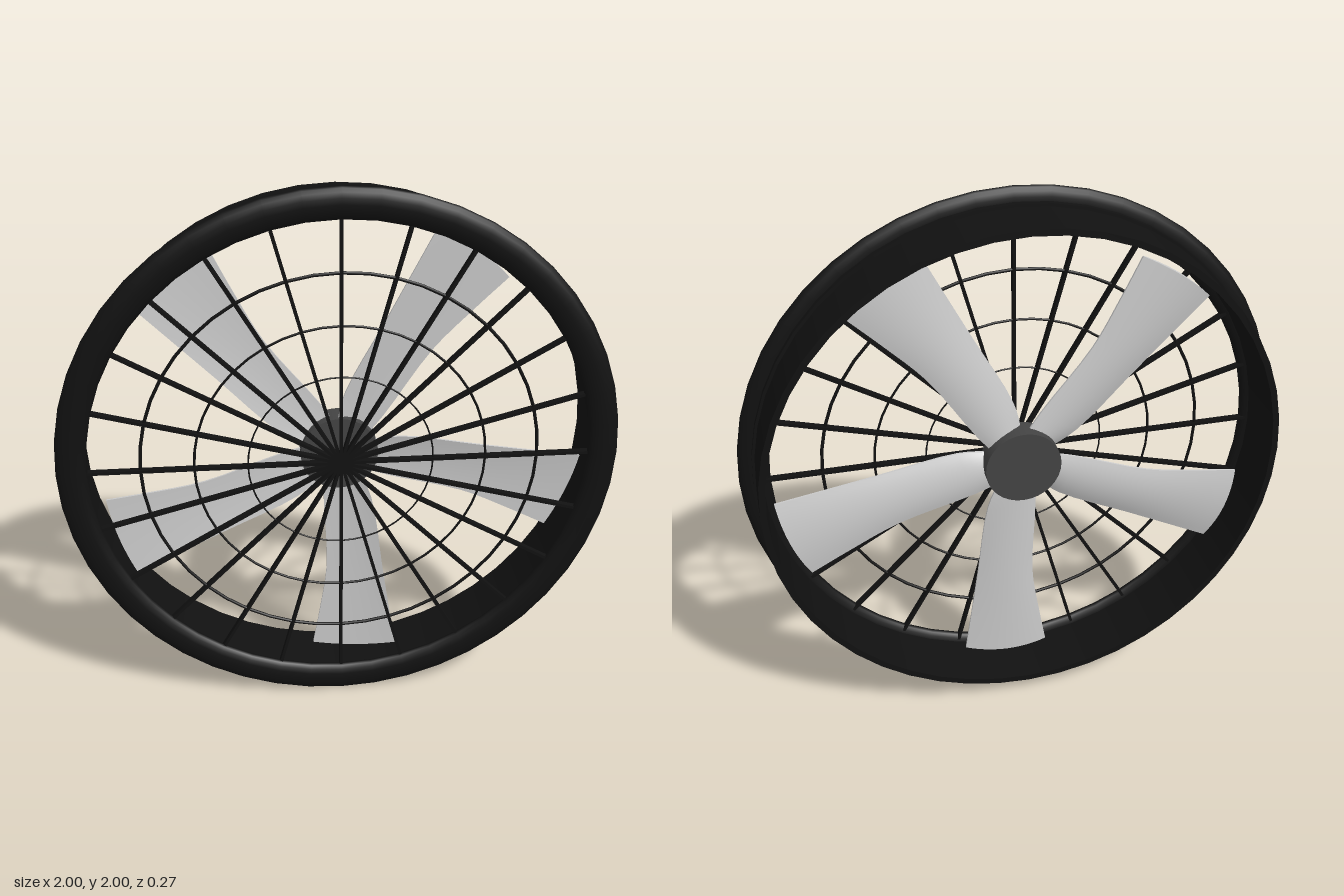
import * as THREE from 'three';

const mat = (color) => new THREE.MeshStandardMaterial({ color });
const black = mat(0x111111);
const darkGrey = mat(0x444444);
const grey = mat(0xcccccc);

function add(parent, name, geometry, material) {
  const mesh = new THREE.Mesh(geometry, material);
  mesh.name = name;
  parent.add(mesh);
  return mesh;
}

// Ring with a closed [radius, z] section, turned about the z axis
function ringGeometry(section, segments) {
  const pts = [...section, section[0]].map(([r, z]) => new THREE.Vector2(r, z));
  // Doubled corner points keep the section's edges sharp
  const sharp = [];
  for (let i = 0; i < pts.length - 1; i++) {
    sharp.push([pts[i], pts[i + 1]]);
  }
  return sharp.map((pair) => new THREE.LatheGeometry(pair, segments).rotateX(Math.PI / 2));
}

// Blade along +x: a box bent between two edge curves, cambered and thinned at the edges
function bladeGeometry() {
  const curve = (pts) => new THREE.CatmullRomCurve3(pts.map(([r, t]) => new THREE.Vector3(r, t, 0)));
  const trailing = curve([[0.08, -0.05], [0.2, -0.055], [0.5, -0.045], [0.7, -0.072], [0.86, -0.1]]);
  const leading = curve([[0.08, 0.07], [0.2, 0.12], [0.5, 0.165], [0.7, 0.195], [0.865, 0.22]]);
  const g = new THREE.BoxGeometry(1, 1, 1, 16, 12, 1);
  const p = g.attributes.position;
  for (let i = 0; i < p.count; i++) {
    const u = p.getX(i) + 0.5, v = p.getY(i) + 0.5, w = p.getZ(i);
    const a = trailing.getPoint(u), b = leading.getPoint(u);
    const s = 2 * v - 1;
    const bulge = 0.015 * Math.pow(u, 6) * (1 - s * s);
    const thickness = 0.008 + 0.014 * (1 - s * s);
    const z = 0.01 + 0.012 * s - 0.012 * (1 - s * s) + w * thickness;
    p.setXYZ(i, THREE.MathUtils.lerp(a.x, b.x, v) + bulge, THREE.MathUtils.lerp(a.y, b.y, v), z);
  }
  g.computeVertexNormals();
  return g;
}

export function createModel() {
  const model = new THREE.Group();
  model.name = 'fan';
  const fan = new THREE.Group();
  fan.name = 'fanAssembly';
  fan.position.y = 1;
  model.add(fan);

  // Rounded front rim, flattened front to back
  const rim = add(fan, 'frontRim', new THREE.TorusGeometry(0.945, 0.055, 16, 48), black);
  rim.scale.z = 0.46;
  rim.position.z = 0.108;

  // Duct with a fine groove and a collar behind the rim
  const duct = new THREE.Group();
  duct.name = 'duct';
  fan.add(duct);
  const ductMat = black.clone();
  ductMat.side = THREE.DoubleSide;
  const section = [
    [0.92, -0.14], [0.943, -0.14], [0.943, 0.057], [0.93, 0.057], [0.93, 0.063],
    [0.952, 0.063], [0.952, 0.1], [0.92, 0.1],
  ];
  for (const g of ringGeometry(section, 48)) add(duct, 'ductWall', g, ductMat);

  // Grille: bars across the full diameter and three concentric rings
  const grille = new THREE.Group();
  grille.name = 'grille';
  grille.position.z = 0.1;
  fan.add(grille);
  const bar = new THREE.BoxGeometry(1.82, 0.011, 0.024);
  for (let i = 0; i < 12; i++) {
    add(grille, 'grilleBar', bar, black).rotation.z = (i * Math.PI) / 12;
  }
  for (const [radius, tube] of [[0.33, 0.003], [0.519, 0.0045], [0.707, 0.006]]) {
    add(grille, 'grilleRing', new THREE.TorusGeometry(radius, tube, 8, 48), black);
  }

  // Hub
  const hub = add(fan, 'hub', new THREE.CylinderGeometry(0.14, 0.14, 0.09, 32), darkGrey);
  hub.rotation.x = Math.PI / 2;
  hub.position.z = -0.005;

  // Five blades, one pointing straight down
  const blade = bladeGeometry();
  for (let i = 0; i < 5; i++) {
    add(fan, 'blade', blade, grey).rotation.z = -Math.PI / 2 + (i * Math.PI * 2) / 5;
  }

  return model;
}
